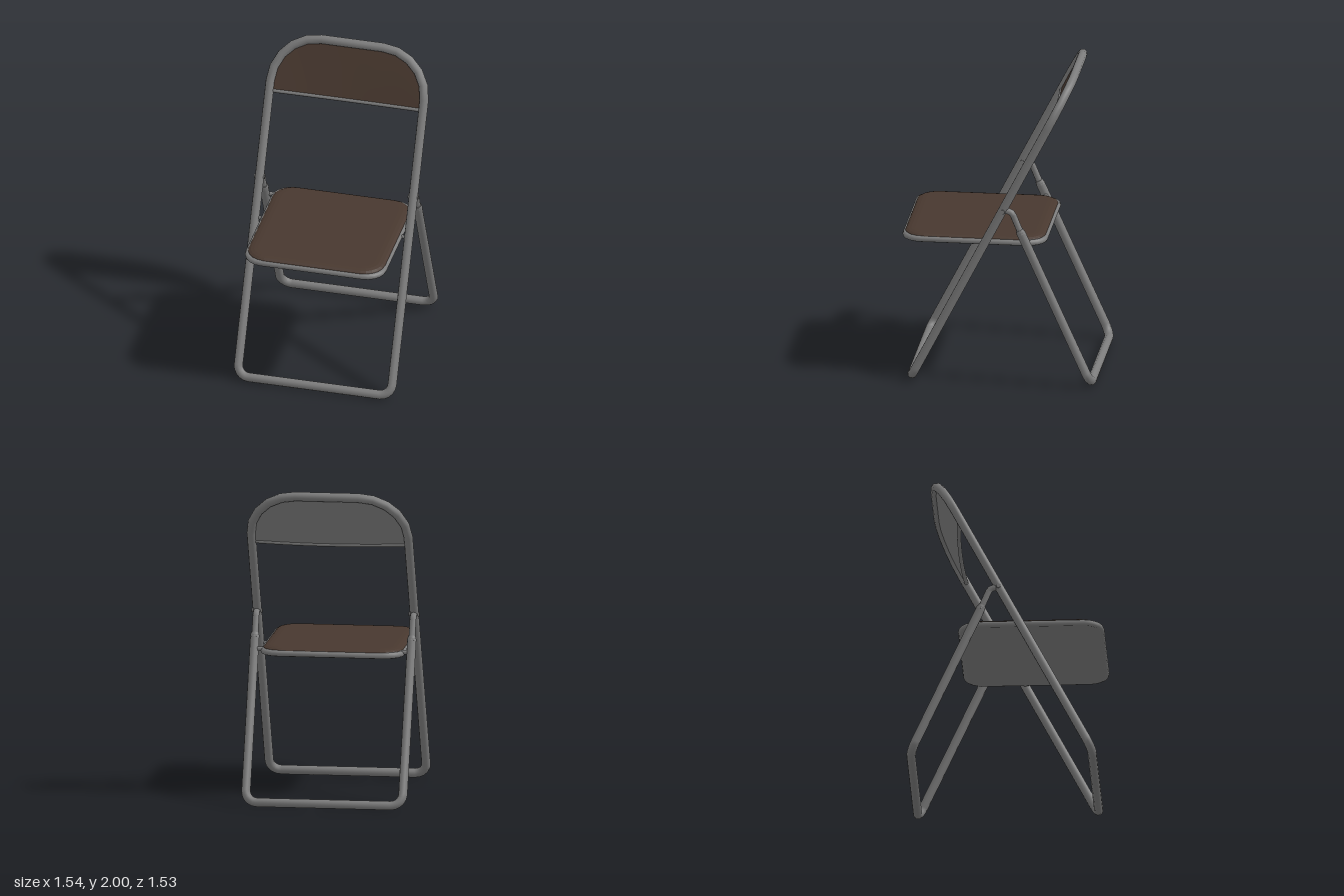
import * as THREE from 'three';

const steel = new THREE.MeshStandardMaterial({ name: 'greySteel', color: 0x7c7c7c });
const vinyl = new THREE.MeshStandardMaterial({ name: 'brownVinyl', color: 0x48382f });

const HALF = 0.5;      // half distance between the leg tubes
const R = 0.029;       // frame tube radius
const FOOT_Y = 0.029;  // height of the floor bars
const FRONT_SLOPE = 0.516, BACK_SLOPE = 0.45;

const v2 = (x, y) => new THREE.Vector2(x, y);

function add(parent, name, geometry, material) {
  const mesh = new THREE.Mesh(geometry, material);
  mesh.name = name;
  parent.add(mesh);
  return mesh;
}

function arc(cx, cy, r, startDeg, segments) {
  const points = [];
  for (let i = 0; i <= segments; i++) {
    const a = THREE.MathUtils.degToRad(startDeg + (90 * i) / segments);
    points.push(v2(cx + r * Math.cos(a), cy + r * Math.sin(a)));
  }
  return points;
}

// Counter-clockwise rectangle with separate radii for its low and high corners
function roundedLoop(w, y0, y1, rLow, rHigh, segments) {
  return [
    ...arc(-w + rLow, y0 + rLow, rLow, 180, segments),
    ...arc(w - rLow, y0 + rLow, rLow, 270, segments),
    ...arc(w - rHigh, y1 - rHigh, rHigh, 0, segments),
    ...arc(-w + rHigh, y1 - rHigh, rHigh, 90, segments),
  ];
}

// Round tube along a flat path in the xy plane, with mitred joints
function sweep(path, radius, closed, sides = 10) {
  const n = path.length, positions = [], indices = [];
  path.forEach((p, i) => {
    const prev = closed || i > 0 ? path[(i + n - 1) % n] : null;
    const next = closed || i < n - 1 ? path[(i + 1) % n] : null;
    const d0 = (prev ? p.clone().sub(prev) : next.clone().sub(p)).normalize();
    const d1 = (next ? next.clone().sub(p) : p.clone().sub(prev)).normalize();
    const t = d0.clone().add(d1).normalize();
    const miter = radius / t.dot(d0);
    for (let j = 0; j < sides; j++) {
      const a = (j / sides) * Math.PI * 2, c = Math.cos(a) * miter;
      positions.push(p.x + t.y * c, p.y - t.x * c, Math.sin(a) * radius);
    }
  });
  for (let i = 0; i < (closed ? n : n - 1); i++) {
    for (let j = 0; j < sides; j++) {
      const a = i * sides + j, b = i * sides + ((j + 1) % sides);
      const c = ((i + 1) % n) * sides + j, d = ((i + 1) % n) * sides + ((j + 1) % sides);
      indices.push(a, c, b, b, c, d);
    }
  }
  const geometry = new THREE.BufferGeometry();
  geometry.setAttribute('position', new THREE.Float32BufferAttribute(positions, 3));
  geometry.setIndex(indices);
  geometry.computeVertexNormals();
  return geometry;
}

// Front legs and backrest share one tilted loop of tube
function buildFrontFrame() {
  const frame = new THREE.Group();
  frame.name = 'frontFrame';
  const stretch = Math.hypot(1, FRONT_SLOPE);
  const top = (1.972 - FOOT_Y) * stretch, low = (1.65 - FOOT_Y) * stretch, rTop = 0.3;
  add(frame, 'frontLegLoop', sweep(roundedLoop(HALF, 0, top, 0.075, rTop, 5), R, true), steel);

  // Backrest panel: a gently bowed sheet filling the arch
  const bow = (u, v) => -0.02 * (1 - (u / HALF) ** 2) * (1 - v);
  const panel = (offset, flip) => {
    const g = new THREE.PlaneGeometry(2 * HALF - 0.01, 1, 28, 6);
    if (flip) g.rotateY(Math.PI);
    const p = g.attributes.position;
    for (let i = 0; i < p.count; i++) {
      const u = p.getX(i), v = p.getY(i) + 0.5;
      const over = Math.max(0, Math.abs(u) - (HALF - rTop));
      const edge = top - rTop + Math.sqrt(rTop * rTop - over * over);
      p.setXYZ(i, u, low + (edge - low) * v, bow(u, v) + offset);
    }
    g.computeVertexNormals();
    return g;
  };
  add(frame, 'backrestPad', panel(0.006, false), vinyl);
  add(frame, 'backrestShell', panel(-0.006, true), steel);

  // Rolled lower edge of the backrest
  const roll = [];
  for (let i = 0; i <= 12; i++) {
    const u = -0.49 + (0.98 * i) / 12;
    roll.push(v2(u, bow(u, 0)));
  }
  const edge = add(frame, 'backrestLowerEdge', sweep(roll, 0.013, false, 8).rotateX(Math.PI / 2), steel);
  edge.position.y = low;

  frame.position.set(0, FOOT_Y, 0.572);
  frame.rotation.x = -Math.atan(FRONT_SLOPE);
  return frame;
}

// Rear U-shaped leg with a collar at each end
function buildBackFrame() {
  const frame = new THREE.Group();
  frame.name = 'backFrame';
  const top = (1.02 - FOOT_Y) * Math.hypot(1, BACK_SLOPE), r = 0.075;
  const path = [
    v2(-HALF, top),
    ...arc(-HALF + r, r, r, 180, 5),
    ...arc(HALF - r, r, r, 270, 5),
    v2(HALF, top),
  ];
  add(frame, 'backLegs', sweep(path, R, false), steel);
  for (const side of [-1, 1]) {
    const collar = add(frame, 'backLegCollar', new THREE.CylinderGeometry(0.025, 0.03, 0.03, 10), steel);
    collar.position.set(side * HALF, top, 0);
  }
  frame.position.set(0, FOOT_Y, -0.572);
  frame.rotation.x = Math.atan(BACK_SLOPE);
  return frame;
}

// Padded seat inside a steel rim
function buildSeat() {
  const seat = new THREE.Group();
  seat.name = 'seat';
  const z0 = -0.28, z1 = 0.645, w = 0.46;
  const loop = (inset, r) => roundedLoop(w - inset, z0 + inset, z1 - inset, r, r, 5);
  const slab = (inset, r, options) =>
    new THREE.ExtrudeGeometry(new THREE.Shape(loop(inset, r)), options).rotateX(Math.PI / 2);

  add(seat, 'seatRim', sweep(loop(0.02, 0.11), 0.02, true, 8).rotateX(Math.PI / 2), steel);
  const cushion = add(seat, 'seatCushion', slab(0.08, 0.07, {
    depth: 0.004, bevelEnabled: true, bevelThickness: 0.024, bevelSize: 0.066, bevelSegments: 4,
  }), vinyl);
  cushion.position.y = 0.014;
  const pan = add(seat, 'seatPan', slab(0.02, 0.11, { depth: 0.006, bevelEnabled: false }), steel);
  pan.position.y = -0.011;
  seat.position.y = 0.93;
  return seat;
}

// Sideways pin, used for hinges
function pin(parent, name, x, y, z, radius, length) {
  const mesh = add(parent, name, new THREE.CylinderGeometry(radius, radius, length, 10), steel);
  mesh.rotation.z = Math.PI / 2;
  mesh.position.set(x, y, z);
}

export function createModel() {
  const model = new THREE.Group();
  model.name = 'foldingChair';
  const chair = new THREE.Group();
  chair.name = 'chair';
  chair.add(buildFrontFrame(), buildBackFrame(), buildSeat());

  // Bent links and hinge pins on both sides
  const link = [v2(-0.142, 0.98), v2(-0.08, 1.13), v2(-0.068, 1.147), v2(-0.05, 1.156), v2(0, 1.163)];
  for (const side of [-1, 1]) {
    const arm = add(chair, 'foldingLink', sweep(link, 0.021, false, 8).rotateY(-Math.PI / 2), steel);
    arm.position.x = side * HALF;
    pin(chair, 'linkRivet', side * HALF, 1.158, -0.015, 0.014, 0.068);
    pin(chair, 'frontSeatHinge', side * 0.47, 0.93, 0.107, 0.012, 0.07);
    pin(chair, 'backSeatHinge', side * 0.46, 0.94, -0.167, 0.014, 0.09);
  }

  // The chair stands turned towards its right
  chair.rotation.y = THREE.MathUtils.degToRad(-50);
  model.add(chair);
  return model;
}
